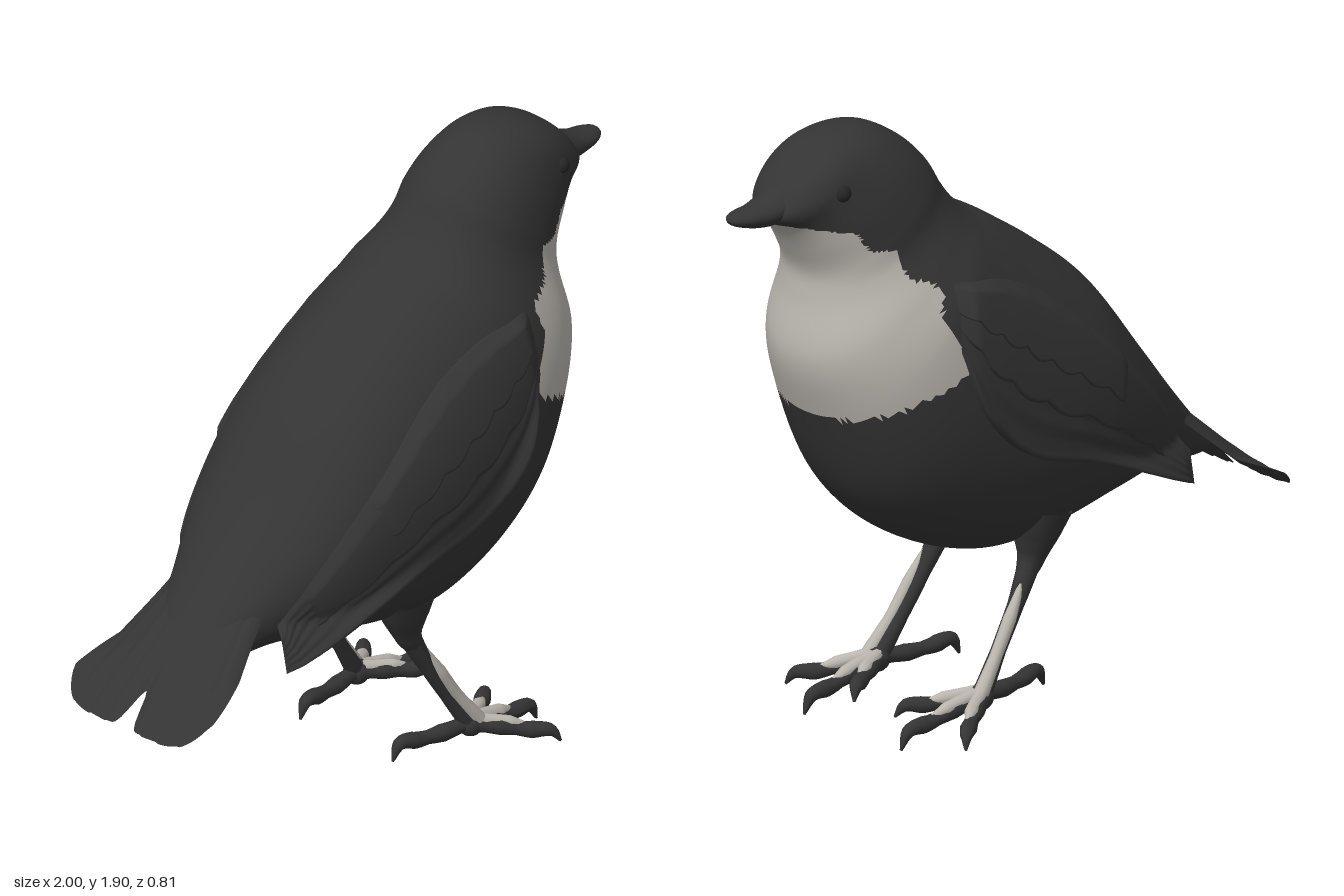
import * as THREE from 'three';

const V = (x, y, z = 0) => new THREE.Vector3(x, y, z);
const mat = (name, color, side = THREE.FrontSide) => {
  const m = new THREE.MeshStandardMaterial({ color, side });
  m.name = name;
  return m;
};
const spline = (pts) => new THREE.CatmullRomCurve3(pts);
const lerp = THREE.MathUtils.lerp;

// Skin a series of closed rings running towards +x (each ring turns from +y to +z)
function loft(rings) {
  const n = rings[0].length, pos = [], idx = [];
  rings.forEach((ring) => ring.forEach((p) => pos.push(p.x, p.y, p.z)));
  for (let i = 0; i < rings.length - 1; i++) {
    for (let j = 0; j < n; j++) {
      const k = (j + 1) % n;
      const a = i * n + j, b = a + n, c = (i + 1) * n + k, d = i * n + k;
      idx.push(a, d, b, b, d, c);
    }
  }
  const g = new THREE.BufferGeometry();
  g.setAttribute('position', new THREE.Float32BufferAttribute(pos, 3));
  g.setIndex(idx);
  g.computeVertexNormals();
  return g;
}

// Oval rings from stations [topX, topY, bottomX, bottomY, halfWidth]
function ovalRings(stations, steps, around, power) {
  const top = spline(stations.map((s) => V(s[0], s[1], s[4])));
  const bottom = spline(stations.map((s) => V(s[2], s[3])));
  const soft = (v) => Math.sign(v) * Math.abs(v) ** power;
  return Array.from({ length: steps + 1 }, (_, i) => {
    const T = top.getPoint(i / steps), B = bottom.getPoint(i / steps);
    return Array.from({ length: around }, (_, j) => {
      const a = (j / around) * Math.PI * 2, c = soft(Math.cos(a));
      return V((T.x + B.x + (T.x - B.x) * c) / 2, (T.y + B.y + (T.y - B.y) * c) / 2, T.z * soft(Math.sin(a)));
    });
  });
}

// Tube whose radius follows a list of radii
function taperTube(points, radii, sides = 10) {
  const curve = spline(points), seg = points.length * 6;
  const g = new THREE.TubeGeometry(curve, seg, 1, sides, false), p = g.attributes.position;
  for (let i = 0; i <= seg; i++) {
    const c = curve.getPointAt(i / seg), f = (i / seg) * (radii.length - 1), k = Math.min(Math.floor(f), radii.length - 2);
    const r = lerp(radii[k], radii[k + 1], f - k);
    for (let j = 0; j <= sides; j++) {
      const q = i * (sides + 1) + j;
      const v = V(0, 0).fromBufferAttribute(p, q).sub(c).multiplyScalar(r).add(c);
      p.setXYZ(q, v.x, v.y, v.z);
    }
  }
  g.computeVertexNormals();
  return g;
}

function mirrorZ(geometry) {
  const g = geometry.clone().scale(1, 1, -1), a = g.index.array;
  for (let i = 0; i < a.length; i += 3) [a[i], a[i + 1]] = [a[i + 1], a[i]];
  g.computeVertexNormals();
  return g;
}

function inside(poly, x, y) {
  let hit = false;
  poly.forEach(([x1, y1], i) => {
    const [x2, y2] = poly[(i + 1) % poly.length];
    if (y1 > y !== y2 > y && x < ((x2 - x1) * (y - y1)) / (y2 - y1) + x1) hit = !hit;
  });
  return hit;
}

export function createModel() {
  const bird = new THREE.Group();
  bird.name = 'bird';
  const dark = mat('darkPlumage', 0x343434, THREE.DoubleSide);
  const pale = mat('palePlumage', 0xbab6af);
  const black = mat('eyeBlack', 0x262626);
  const add = (name, geometry, material, parent = bird) => {
    const m = new THREE.Mesh(geometry, material);
    m.name = name;
    parent.add(m);
    return m;
  };

  // Body and head, from under the tail to the face
  const bodyRings = ovalRings([
    [-0.87, 0.61, -0.86, 0.59, 0.01], [-0.78, 0.69, -0.74, 0.595, 0.11], [-0.62, 0.87, -0.53, 0.605, 0.2],
    [-0.47, 1.05, -0.32, 0.575, 0.29], [-0.27, 1.3, -0.1, 0.52, 0.345], [-0.12, 1.42, 0.12, 0.505, 0.365],
    [0, 1.5, 0.38, 0.6, 0.368], [0.09, 1.555, 0.56, 0.76, 0.36], [0.16, 1.59, 0.69, 1.04, 0.335],
    [0.21, 1.635, 0.745, 1.22, 0.285], [0.25, 1.69, 0.72, 1.4, 0.235], [0.3, 1.77, 0.718, 1.48, 0.22],
    [0.38, 1.845, 0.755, 1.56, 0.2], [0.49, 1.9, 0.8, 1.625, 0.17], [0.62, 1.9, 0.835, 1.655, 0.145],
    [0.72, 1.86, 0.85, 1.665, 0.115], [0.8, 1.79, 0.86, 1.675, 0.075], [0.85, 1.73, 0.87, 1.7, 0.01],
  ], 170, 112, 0.9);
  const body = loft(bodyRings);

  // Pale bib: sort the body faces into two material groups by its outline
  const bib = [[1, 1.66], [0.82, 1.66], [0.66, 1.63], [0.62, 1.57], [0.54, 1.565], [0.52, 1.48], [0.425, 1.44],
    [0.45, 1.35], [0.41, 1.27], [0.36, 1.19], [0.52, 1.11], [0.69, 1.035], [1, 1.03]];
  const faces = [[], []], p = body.attributes.position, ix = body.index.array;
  for (let i = 0; i < ix.length; i += 3) {
    const t = [ix[i], ix[i + 1], ix[i + 2]];
    const mean = (f) => (f(t[0]) + f(t[1]) + f(t[2])) / 3;
    faces[inside(bib, mean((v) => p.getX(v)), mean((v) => p.getY(v))) ? 1 : 0].push(...t);
  }
  body.setIndex(faces[0].concat(faces[1]));
  body.addGroup(0, faces[0].length, 0);
  body.addGroup(faces[0].length, faces[1].length, 1);
  add('bodyAndBib', body, [dark, pale]);

  // Beak
  add('beak', loft(ovalRings([
    [0.76, 1.8, 0.79, 1.68, 0.07], [0.84, 1.757, 0.84, 1.66, 0.068], [0.9, 1.733, 0.9, 1.66, 0.055],
    [0.96, 1.722, 0.96, 1.674, 0.045], [0.99, 1.714, 0.99, 1.686, 0.025], [1, 1.7, 1, 1.698, 0.002],
  ], 30, 24, 1)), dark);

  // Smoothed body half-width at a point of the side outline
  const half = bodyRings.flat().filter((v) => v.z >= 0);
  const bodyZ = (x, y) => {
    let sum = 0, weight = 1e-6;
    for (const v of half) {
      const d = (v.x - x) ** 2 + (v.y - y) ** 2;
      if (d > 0.004) continue;
      const w = Math.exp(-d / 0.0006);
      sum += w * v.z;
      weight += w;
    }
    return sum / weight;
  };

  // Folded wing: three overlapping feather layers lying on the flank
  const upper = spline([V(-0.58, 0.7, 0.24), V(-0.52, 0.8, 0.18), V(-0.4, 0.95, 0.1), V(-0.2, 1.15, 0.1),
    V(0, 1.32, 0.1), V(0.2, 1.42, 0.18), V(0.39, 1.45, 0.25)]);
  const lower = spline([V(-0.58, 0.6, 0.26), V(-0.46, 0.65, 0.3), V(-0.3, 0.72, 0.335), V(-0.1, 0.8, 0.36),
    V(0.15, 0.88, 0.375), V(0.31, 1.02, 0.388), V(0.4, 1.25, 0.345)]);
  const layers = [['flightFeathers', 0, 1, 0.01], ['wingCoverts', 0.17, 0.64, 0.019], ['shoulderFeathers', 0.42, 0.38, 0.027]];
  layers.forEach(([name, start, reach, lift], layer) => {
    const rings = [], across = 24;
    for (let i = 0; i <= 50; i++) {
      const t = lerp(start, 1, i / 50), ends = Math.min(1, i / 3, (50 - i) / 4);
      const scallop = layer ? 0.05 * Math.abs(Math.sin(i * 0.42)) : 0;
      const U = upper.getPoint(t), L = lower.getPoint(t), outer = [], inner = [];
      for (let j = 0; j <= across; j++) {
        const v = j / across, q = U.clone().lerp(L, v * (reach + scallop));
        const base = Math.max(bodyZ(q.x, q.y), q.z);
        const ridge = layer ? 0 : 0.008 * ((v * 6) % 1);
        outer.push(V(q.x, q.y, base + (lift * Math.min(1, v * 5) + ridge) * ends));
        inner.unshift(V(q.x, q.y, base - 0.02 * ends));
      }
      rings.push([...outer, ...inner]);
    }
    const wing = loft(rings);
    add(name + 'Left', wing, dark);
    add(name + 'Right', mirrorZ(wing), dark);
  });

  // Tail: arched fan with two rounded lobes and a centre notch
  const tailRings = [];
  for (let i = 0; i <= 30; i++) {
    const s = i / 30, top = [], under = [];
    for (let j = 0; j <= 60; j++) {
      const r = j / 30 - 1, e = Math.abs(r);
      const end = -1 + 0.09 * e ** 7 + 0.1 * Math.exp(-((r / 0.08) ** 2));
      const x = lerp(end, -0.45, s);
      const spread = lerp(0.28, 0.17, THREE.MathUtils.smoothstep(x, -0.95, -0.5));
      const y = 0.485 + 0.88 * (x + 1) - 0.07 * e * e * Math.min(1, s * 3) + 0.005 * ((e * 4) % 1);
      const thick = 0.014 * Math.min(1, s * 6, (1 - e) * 8);
      top.push(V(x, y + thick, r * spread));
      under.unshift(V(x, y - thick, r * spread));
    }
    tailRings.push([...top, ...under]);
  }
  add('tail', loft(tailRings), dark);

  // Eyes, legs and feet
  for (const side of [1, -1]) {
    const label = side > 0 ? 'left' : 'right';
    const eye = add(label + 'Eye', new THREE.SphereGeometry(0.028, 16, 12), black);
    eye.position.set(0.69, 1.755, side * (bodyZ(0.69, 1.755) - 0.012));

    const leg = new THREE.Group();
    leg.name = label + 'Leg';
    bird.add(leg);
    const P = (x, y, z) => V(x, y, z * side);
    add('thigh', taperTube([P(-0.03, 0.64, 0.2), P(-0.015, 0.54, 0.195), P(0, 0.48, 0.195), P(0.03, 0.43, 0.2)],
      [0.1, 0.075, 0.045, 0.027]), dark, leg);
    add('shank', taperTube([P(0, 0.48, 0.195), P(0.06, 0.37, 0.205), P(0.14, 0.24, 0.215), P(0.22, 0.12, 0.23)],
      [0.035, 0.025, 0.023, 0.03]), dark, leg);
    add('shankStripe', taperTube([P(0.045, 0.43, 0.21), P(0.08, 0.37, 0.219), P(0.16, 0.24, 0.232), P(0.24, 0.13, 0.248)],
      [0.008, 0.02, 0.019, 0.024]), pale, leg);
    add('footPad', new THREE.SphereGeometry(0.04, 14, 10), dark, leg).position.set(0.225, 0.115, 0.23 * side);

    // Toes end in down-curved claws
    const toes = {
      middleToe: [P(0.21, 0.12, 0.23), P(0.31, 0.1, 0.225), P(0.41, 0.075, 0.218), P(0.49, 0.065, 0.215), P(0.52, 0.012, 0.215)],
      outerToe: [P(0.21, 0.12, 0.235), P(0.29, 0.1, 0.285), P(0.36, 0.08, 0.335), P(0.41, 0.075, 0.38), P(0.43, 0.04, 0.4)],
      innerToe: [P(0.21, 0.12, 0.225), P(0.29, 0.11, 0.185), P(0.36, 0.1, 0.145), P(0.41, 0.1, 0.11), P(0.435, 0.065, 0.09)],
      hindToe: [P(0.23, 0.12, 0.23), P(0.13, 0.115, 0.215), P(0.04, 0.12, 0.2), P(-0.03, 0.13, 0.19), P(-0.058, 0.08, 0.187)],
    };
    for (const [name, pts] of Object.entries(toes)) {
      add(name, taperTube(pts, [0.026, 0.023, 0.027, 0.021, 0.026, 0.02, 0.004]), dark, leg);
      if (name === 'hindToe') continue;
      const raised = pts.slice(0, 3).map((q) => q.clone().add(V(0.01, 0.011)));
      add(name + 'Scales', taperTube(raised, [0.022, 0.021, 0.021, 0.004]), pale, leg);
    }
  }
  return bird;
}
